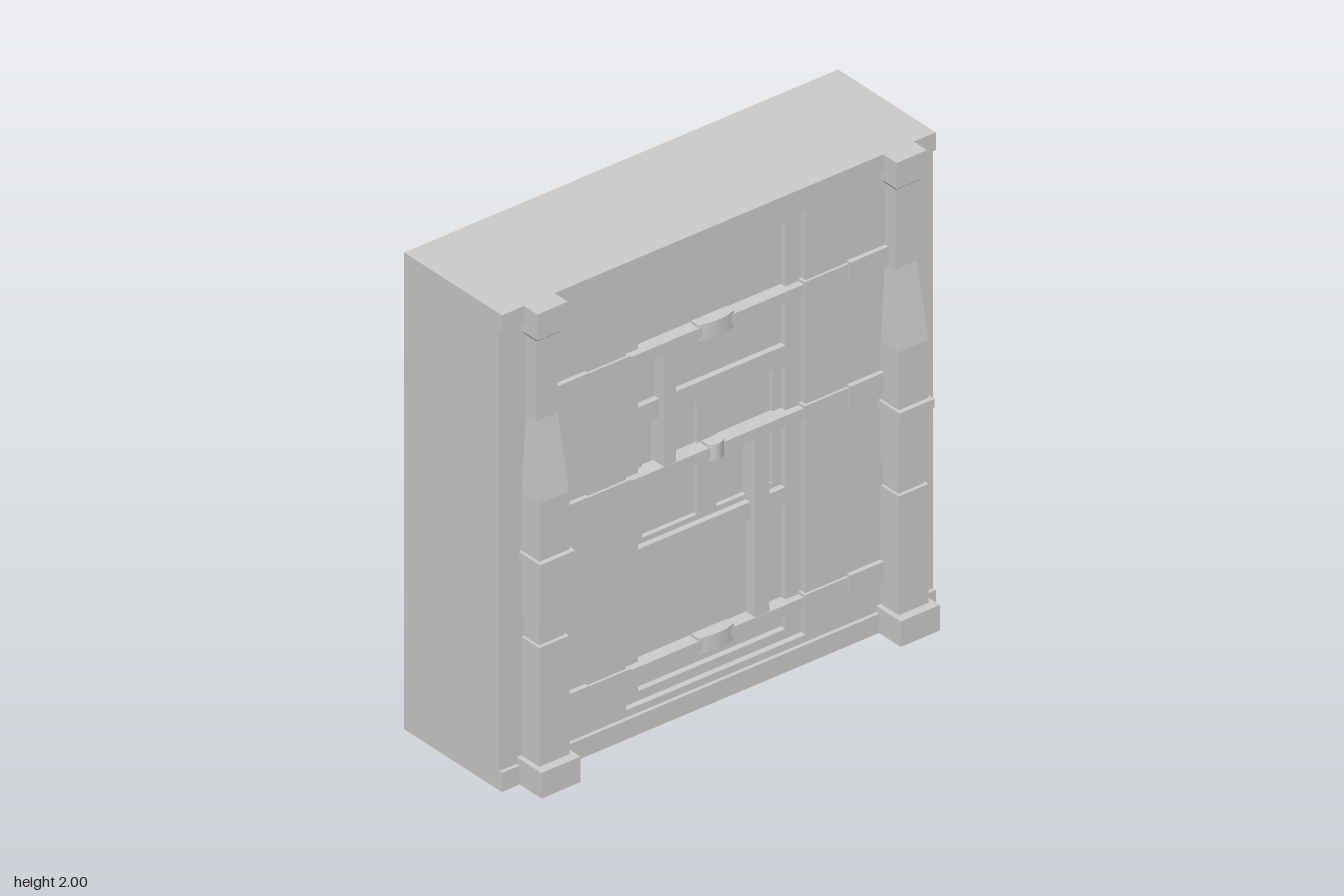
import * as THREE from 'three';

const mat = new THREE.MeshStandardMaterial({ color: 0xcccccc, flatShading: true });
const smoothMat = new THREE.MeshStandardMaterial({ color: 0xcccccc });

// Box given by its min and max on each axis
function box(parent, name, x0, x1, y0, y1, z0, z1) {
  const mesh = new THREE.Mesh(new THREE.BoxGeometry(x1 - x0, y1 - y0, z1 - z0), mat);
  mesh.position.set((x0 + x1) / 2, (y0 + y1) / 2, (z0 + z1) / 2);
  mesh.name = name;
  parent.add(mesh);
  return mesh;
}

function rect(Type, [x0, x1, y0, y1]) {
  const p = new Type();
  p.moveTo(x0, y0);
  p.lineTo(x1, y0);
  p.lineTo(x1, y1);
  p.lineTo(x0, y1);
  p.closePath();
  return p;
}

// Slab with rectangular openings, between two depths
function slab(parent, name, outer, holes, z0, z1) {
  const shape = rect(THREE.Shape, outer);
  shape.holes = holes.map((h) => rect(THREE.Path, h));
  const geo = new THREE.ExtrudeGeometry(shape, { depth: z1 - z0, bevelEnabled: false });
  const mesh = new THREE.Mesh(geo, mat);
  mesh.position.z = z0;
  mesh.name = name;
  parent.add(mesh);
}

// Column piece whose half width and front depth may change from bottom to top
function columnPiece(parent, name, y0, y1, w0, f0, w1 = w0, f1 = f0) {
  const back = 0.17;
  const geo = new THREE.BoxGeometry(2, 1, 1);
  const p = geo.attributes.position;
  for (let i = 0; i < p.count; i++) {
    const top = p.getY(i) > 0;
    p.setXYZ(i, p.getX(i) * (top ? w1 : w0), top ? y1 : y0,
      p.getZ(i) > 0 ? (top ? f1 : f0) : back);
  }
  geo.computeVertexNormals();
  const mesh = new THREE.Mesh(geo, mat);
  mesh.name = name;
  parent.add(mesh);
}

// Sleeve bulging forward in an arc along x
function sleeve(parent, y0, y1, half) {
  const shape = new THREE.Shape();
  shape.moveTo(-half, -0.16);
  shape.lineTo(half, -0.16);
  shape.lineTo(half, -0.2);
  shape.quadraticCurveTo(0, -0.23, -half, -0.2);
  shape.closePath();
  const geo = new THREE.ExtrudeGeometry(shape, { depth: y1 - y0, bevelEnabled: false, curveSegments: 10 });
  geo.rotateX(-Math.PI / 2);
  // Smooth the normals on the curved front only
  const p = geo.attributes.position, n = geo.attributes.normal;
  for (let i = 0; i < p.count; i++) {
    if (n.getZ(i) > 0.5) {
      const v = new THREE.Vector3(0.06 * p.getX(i) / (2 * half * half) * 1.0, 0, 1).normalize();
      n.setXYZ(i, v.x, v.y, v.z);
    }
  }
  const mesh = new THREE.Mesh(geo, smoothMat);
  mesh.position.y = y0;
  mesh.name = 'barSleeve';
  parent.add(mesh);
}

export function createModel() {
  const model = new THREE.Group();
  model.name = 'vaultDoor';
  const wall = 0.2, ledge = 0.216;

  // Body with stepped recesses for the door and its panels
  const doorway = [-0.415, 0.412, 0.11, 1.89];
  const panels = [
    [-0.34, 0.34, 0.15, 0.67],
    [-0.34, 0.34, 0.745, 1.26],
    [-0.34, 0.34, 1.34, 1.855],
  ];
  const insets = [[-0.3, -0.047, 0.767, 1.24], [0.043, 0.3, 0.767, 1.24]];
  box(model, 'body', -1, 1, 0, 2, -0.34, 0.13);
  slab(model, 'innerPanels', [-1, 1, 0, 2], insets, 0.13, 0.15);
  slab(model, 'doorLeaf', [-1, 1, 0, 2], panels, 0.15, 0.175);
  slab(model, 'wall', [-1, 1, 0, 2], [doorway], 0.175, wall);
  box(model, 'bottomLedge', -1, 1, 0, 0.08, 0.18, ledge);
  box(model, 'topLedge', -1, 1, 1.925, 2, 0.18, ledge);

  // Horizontal bars with stepped brackets at both ends
  for (const [y, sleeveHalf] of [[0.252, 0.083], [1.045, 0.036], [1.565, 0.083]]) {
    const bar = new THREE.Group();
    bar.name = 'crossBar';
    box(bar, 'rod', -0.42, 0.42, y - 0.022, y + 0.022, 0.14, 0.205);
    for (const s of [-1, 1]) {
      const inner = box(bar, 'innerBracket', 0.4, 0.62, y - 0.033, y + 0.033, 0.16, 0.211);
      const outer = box(bar, 'outerBracket', 0.602, 0.78, y - 0.042, y + 0.042, 0.17, 0.22);
      inner.position.x *= s;
      outer.position.x *= s;
    }
    sleeve(bar, y - 0.033, y + 0.033, sleeveHalf);
    model.add(bar);
  }

  // Upright bars linking the cross bars
  box(model, 'upperUpright', -0.242, -0.188, 1.06, 1.55, 0.13, 0.203);
  box(model, 'lowerUpright', 0.178, 0.245, 0.265, 1.03, 0.13, 0.203);

  // Pair of columns
  for (const s of [-1, 1]) {
    const col = new THREE.Group();
    col.name = s > 0 ? 'leftColumn' : 'rightColumn';
    columnPiece(col, 'base', 0, 0.107, 0.09, 0.34);
    columnPiece(col, 'lowerShaft', 0.107, 0.605, 0.069, 0.302);
    columnPiece(col, 'neck', 0.605, 0.7, 0.058, 0.287);
    columnPiece(col, 'middleShaft', 0.7, 1.21, 0.069, 0.302);
    columnPiece(col, 'ring', 0.93, 0.967, 0.081, 0.322);
    columnPiece(col, 'taper', 1.21, 1.53, 0.069, 0.302, 0.049, 0.26);
    columnPiece(col, 'upperShaft', 1.53, 1.865, 0.049, 0.26);
    columnPiece(col, 'capitalFlare', 1.865, 1.89, 0.049, 0.262, 0.069, 0.29);
    columnPiece(col, 'capital', 1.89, 2, 0.07, 0.292);
    col.position.x = s * 0.828;
    model.add(col);
  }
  return model;
}
